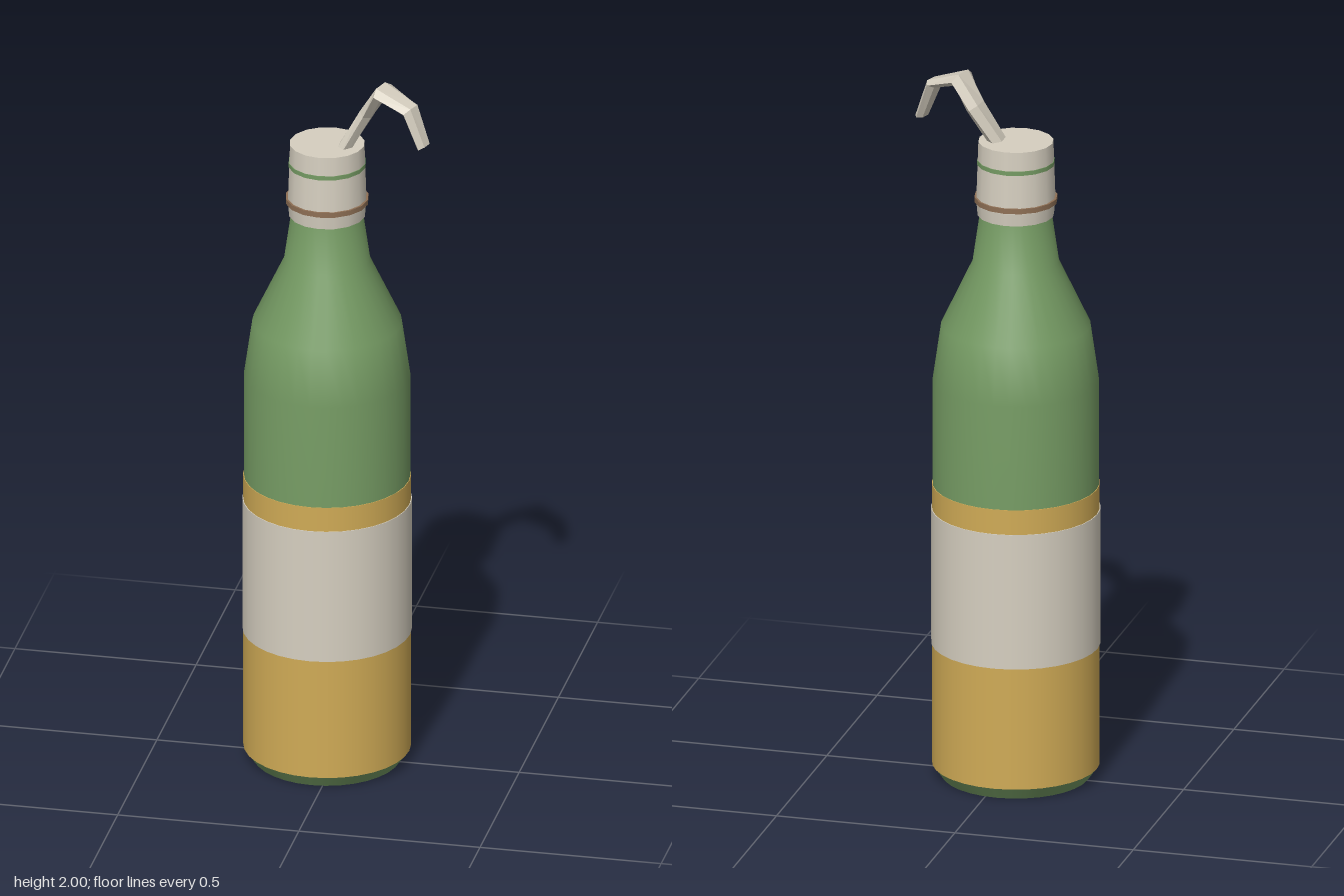
import * as THREE from 'three';

const material = (name, color, side = THREE.FrontSide) => {
  const m = new THREE.MeshStandardMaterial({ color, side });
  m.name = name;
  return m;
};

// Lathe made of separate smooth strips, so edges between strips stay sharp
function turned(name, strips, segments, mat) {
  const group = new THREE.Group();
  group.name = name;
  strips.forEach((pts) => {
    const profile = pts.map(([r, y]) => new THREE.Vector2(r, y));
    const mesh = new THREE.Mesh(new THREE.LatheGeometry(profile, segments), mat);
    mesh.name = name + 'Surface';
    group.add(mesh);
  });
  return group;
}

// Flattened six-sided tube through sections: [x, y, z, halfWidth, halfThickness, slope, yaw]
function flatTube(sections, sides) {
  const rings = sections.map(([x, y, z, w, t, slope, yaw]) => {
    const across = new THREE.Vector3(Math.sin(yaw), 0, -Math.cos(yaw));
    const up = new THREE.Vector3(-Math.sin(slope), Math.cos(slope), 0);
    return Array.from({ length: sides }, (_, j) => {
      const a = (j / sides) * Math.PI * 2;
      return new THREE.Vector3(x, y, z)
        .addScaledVector(across, Math.cos(a) * w)
        .addScaledVector(up, Math.sin(a) * t);
    });
  });
  const tris = [];
  for (let i = 0; i < rings.length - 1; i++) {
    for (let j = 0; j < sides; j++) {
      const k = (j + 1) % sides;
      const [a, b, c, d] = [rings[i][j], rings[i][k], rings[i + 1][j], rings[i + 1][k]];
      tris.push(a, b, c, b, d, c);
    }
  }
  const first = rings[0], last = rings[rings.length - 1];
  for (let j = 1; j < sides - 1; j++) {
    tris.push(first[0], first[j + 1], first[j], last[0], last[j], last[j + 1]);
  }
  const geo = new THREE.BufferGeometry().setFromPoints(tris);
  geo.computeVertexNormals();
  return geo;
}

export function createModel() {
  const green = material('green', 0x769c64);
  const gold = material('gold', 0xd0ab56);
  const cream = material('cream', 0xd6cfc0);
  const brown = material('brown', 0x8f7055);

  const model = new THREE.Group();
  model.name = 'bottle';
  const bottle = new THREE.Group();
  bottle.name = 'bottleBody';
  bottle.position.x = -0.03;
  model.add(bottle);

  // Glass: base, chamfer, then wall, shoulder and neck
  bottle.add(turned('glass', [
    [[0, 0], [0.2, 0]],
    [[0.2, 0], [0.225, 0.035]],
    [[0.225, 0.035], [0.225, 0.6], [0.225, 1.13], [0.202, 1.29], [0.117, 1.47], [0.094, 1.63]],
  ], 32, green));

  // Gold wrap and cream label around the wall
  const sleeve = (name, r, y0, y1, mat) => bottle.add(turned(name, [
    [[0.224, y0], [r, y0]], [[r, y0], [r, y1]], [[r, y1], [0.224, y1]],
  ], 32, mat));
  sleeve('goldWrap', 0.2268, 0.035, 0.835, gold);
  sleeve('creamLabel', 0.229, 0.38, 0.765, cream);

  // Cap, tapering towards its flat top
  bottle.add(turned('cap', [
    [[0.085, 1.61], [0.104, 1.605]],
    [[0.104, 1.605], [0.107, 1.64]],
    [[0.108, 1.64], [0.102, 1.815]],
    [[0.102, 1.815], [0, 1.815]],
  ], 16, cream));

  // Thin rings on the cap
  const ring = (name, r, y, h, mat) => bottle.add(turned(name, [
    [[0.1, y - h], [r, y - h]], [[r, y - h], [r, y + h]], [[r, y + h], [0.1, y + h]],
  ], 16, mat));
  ring('lowerCapRing', 0.113, 1.65, 0.007, brown);
  ring('upperCapRing', 0.1055, 1.756, 0.006, green);

  // Hooked spout rising from the cap
  const spout = new THREE.Mesh(flatTube([
    [0.015, 1.8, 0, 0.038, 0.02, 1.05, 0],
    [0.078, 1.91, -0.02, 0.046, 0.02, 1.0, 0.1],
    [0.122, 1.981, -0.003, 0.05, 0.02, 0.32, 0.3],
    [0.207, 1.948, 0.032, 0.036, 0.016, -0.75, 0.35],
    [0.245, 1.848, 0.041, 0.029, 0.012, -1.2, 0.3],
  ], 6), cream);
  spout.name = 'spout';
  model.add(spout);

  return model;
}
